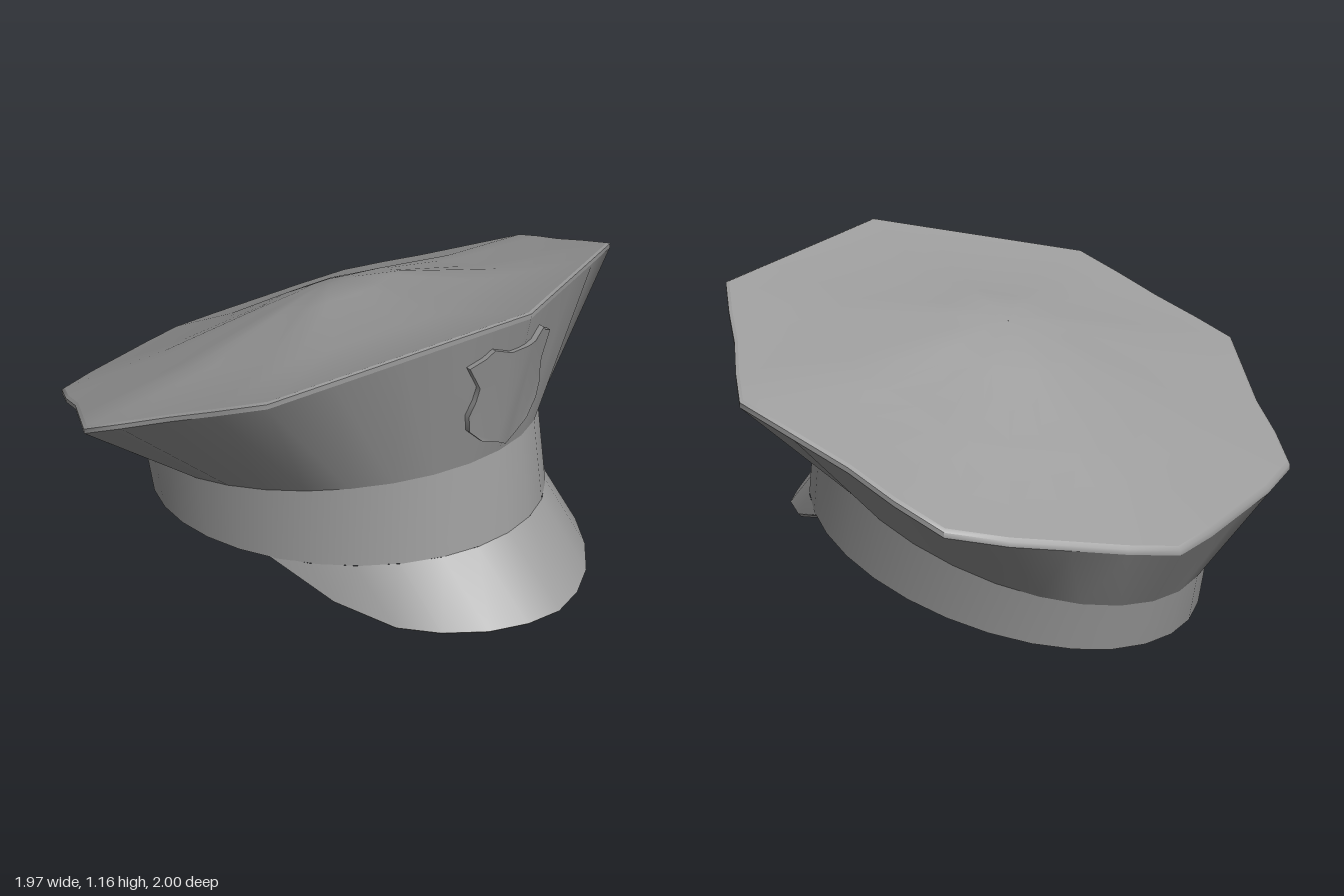
import * as THREE from 'three';
import { toCreasedNormals } from 'three/addons/utils/BufferGeometryUtils.js';

const N = 32; // segments around the cap
const cloth = new THREE.MeshStandardMaterial({ color: 0x9a9a9a });
const darkCloth = new THREE.MeshStandardMaterial({ color: 0x8e8e8e });

// Skin a list of equal-length point rows into one surface
function loft(rows, crease = 0.9) {
  const n = rows[0].length;
  const index = [];
  for (let i = 0; i < rows.length - 1; i++) {
    for (let j = 0; j < n - 1; j++) {
      const a = i * n + j, b = a + 1, c = b + n, d = a + n;
      index.push(a, b, c, a, c, d);
    }
  }
  const geometry = new THREE.BufferGeometry();
  geometry.setAttribute('position', new THREE.Float32BufferAttribute(rows.flat(2), 3));
  geometry.setIndex(index);
  return toCreasedNormals(geometry, crease);
}

// Closed ring, starting at the front and running towards +x
const ring = (point) => Array.from({ length: N + 1 }, (_, j) => point(j % N));

// Points of the tilted ovals at the band's lower and upper edge
const lowerEdge = (a, inset) => {
  const dz = (0.808 - inset) * Math.cos(a);
  return [(0.595 - inset) * Math.sin(a), 0.1735 + 0.2125 * dz, -0.04 + dz];
};
const upperEdge = (a, inset) => {
  const dz = (0.795 - inset) * Math.cos(a);
  return [(0.595 - inset) * Math.sin(a), 0.3925 + 0.305 * dz, -0.085 + dz];
};
const bandBottom = (inset) => ring((j) => lowerEdge((j / N) * Math.PI * 2, inset));
const bandTop = (inset) => ring((j) => upperEdge((j / N) * Math.PI * 2, inset));

// Eight-cornered rim in a sloping plane (half outline, slightly drawn in between the side corners)
const outline = [[0, 0.8], [0.186, 0.722], [0.372, 0.645], [0.56, 0.567], [0.745, 0.49],
  [0.81, 0.33], [0.865, 0.175], [0.935, 0.02], [0.985, -0.11], [0.895, -0.28], [0.805, -0.45],
  [0.745, -0.61], [0.67, -0.76], [0.5, -0.84], [0.33, -0.898], [0.16, -0.957], [0, -1]];
function rim(scale, lift) {
  return ring((j) => {
    const [ox, oz] = outline[Math.min(j, N - j)];
    const x = ox * scale * (j > N / 2 ? -1 : 1);
    const z = (oz + 0.1) * scale - 0.1;
    // the dome is flatter towards the front
    const front = Math.max(0, Math.cos((j / N) * Math.PI * 2));
    const h = scale > 0.3 && lift > 0 ? lift * (1 - 0.85 * front) : lift;
    return [x, 0.803 + 0.453 * z + h, z];
  });
}

// Visor: thin curved shell whose underside runs on from the lining
function visorGeometry() {
  const half = [[0, 0.167, 1], [0.115, 0.165, 0.975], [0.23, 0.16, 0.915], [0.34, 0.153, 0.815],
    [0.425, 0.15, 0.7], [0.5, 0.168, 0.49], [0.558, 0.236, 0.24]];
  const outer = [], outerLow = [], inner = [], innerLow = [];
  for (let i = -6; i <= 6; i++) {
    const [x, y, z] = half[Math.abs(i)];
    const a = (i / 6) * 1.217;
    outer.push([Math.sign(i) * x, y, z]);
    outerLow.push([Math.sign(i) * x * 0.985, y - 0.01, z - 0.008]);
    inner.push(lowerEdge(a, 0));
    const [ix, iy, iz] = lowerEdge(a, 0.027);
    innerLow.push([ix, iy - 0.002, iz]);
  }
  return loft([innerLow, outerLow, outer, inner]);
}

// Shield badge: two extruded halves bent to follow the front of the crown
function badgeGeometry() {
  const half = [[0, 1.052], [0.05, 1.04], [0.105, 1.06], [0.13, 1.035], [0.175, 1.01], [0.135, 0.93],
    [0.142, 0.88], [0.157, 0.83], [0.148, 0.77], [0.1, 0.72], [0.04, 0.695], [0, 0.67]];
  const shapes = [1, -1].map((s) => new THREE.Shape(half.map(([x, y]) => new THREE.Vector2(s * x, y))));
  const geometry = new THREE.ExtrudeGeometry(shapes, { depth: 0.026, bevelEnabled: false });
  const p = geometry.attributes.position;
  for (let i = 0; i < p.count; i++) {
    const x = Math.abs(p.getX(i));
    const t = (p.getY(i) - 0.635) / 0.525;
    const wall = 0.71 + 0.093 * t - 0.416 * t * x - 1.14 * (1 - t) * x * x;
    p.setZ(i, wall - 0.01 + p.getZ(i));
  }
  return toCreasedNormals(geometry, 0.9);
}

export function createModel() {
  const group = new THREE.Group();
  const add = (name, geometry, material = cloth) => {
    const mesh = new THREE.Mesh(geometry, material);
    mesh.name = name;
    group.add(mesh);
  };

  // Flared crown wall with a narrow lip
  add('crownWall', loft([bandTop(0), rim(1, -0.022)]), darkCloth);
  add('crownLip', loft([rim(1, -0.022), rim(1, -0.006), rim(0.988, 0)]));
  // Low domed top
  add('crownTop', loft([rim(0.988, 0), rim(0.6, 0.045), rim(0.25, 0.115), rim(0.1, 0.14), rim(0.001, 0.142)]));
  // Head band with a thick lower edge
  add('headBand', loft([bandBottom(0.025), bandBottom(0), bandTop(0)]));
  // Inside surface, from the top centre down to the opening
  add('lining', loft([rim(0.001, 0.11), rim(0.25, 0.085), rim(0.6, 0.015), rim(0.95, -0.04),
    bandTop(0.025), bandBottom(0.025)], 3));
  add('visor', visorGeometry());
  add('badge', badgeGeometry(), darkCloth);
  return group;
}
